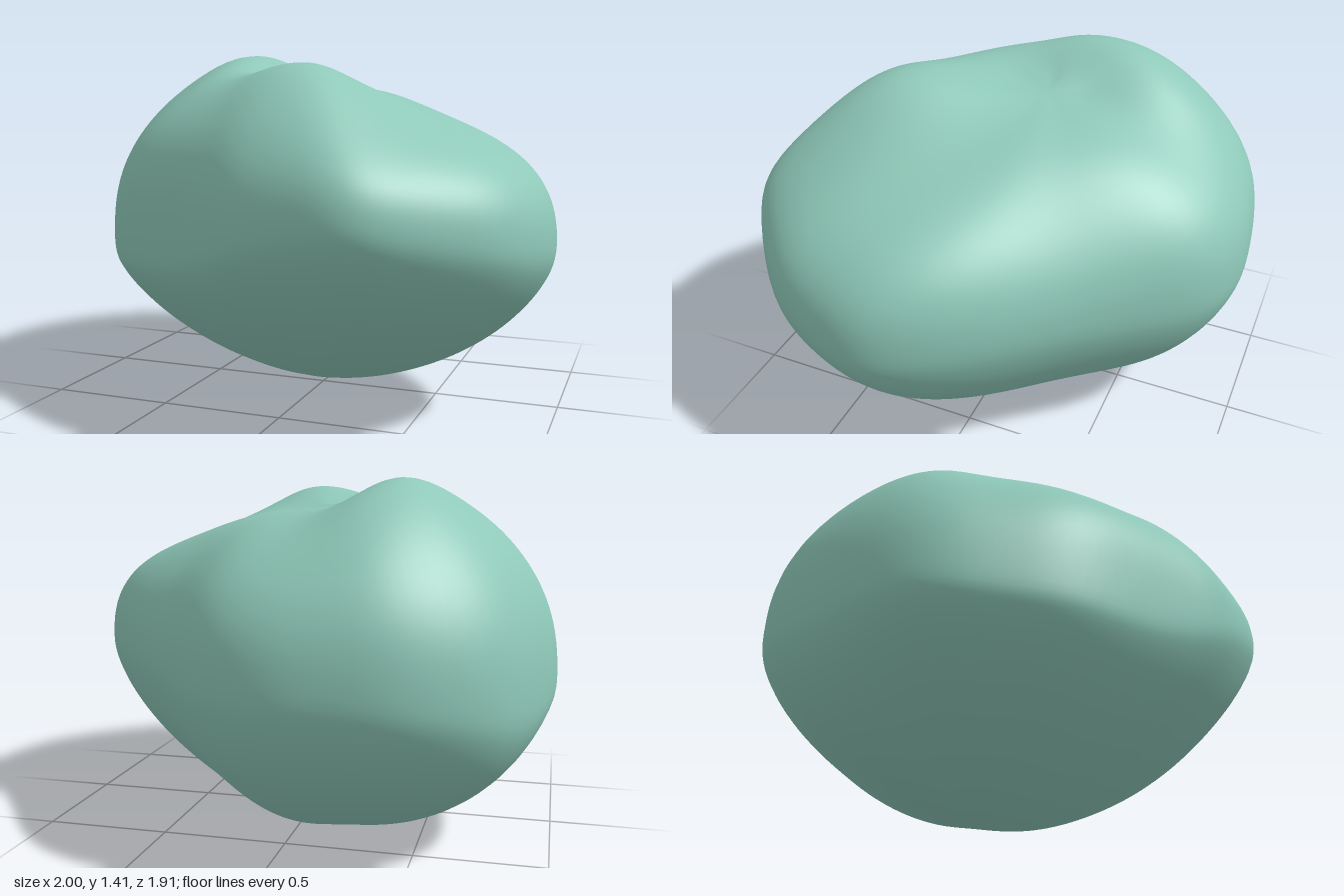
import * as THREE from 'three';
import { mergeVertices } from 'three/addons/utils/BufferGeometryUtils.js';

// Widest outline of the boulder, from its right side round the front: [x, y, z]
const GIRTH = [
  [-1.01, 0.6, -0.15], [-0.99, 0.6, 0.05], [-0.87, 0.59, 0.26], [-0.71, 0.59, 0.48],
  [-0.42, 0.61, 0.66], [-0.2, 0.66, 0.79], [-0.03, 0.73, 0.89], [0.2, 0.79, 0.94],
  [0.42, 0.82, 0.965], [0.62, 0.77, 0.84], [0.87, 0.72, 0.62], [0.97, 0.68, 0.4],
  [1.01, 0.67, 0.2], [0.94, 0.69, 0], [0.8, 0.7, -0.2], [0.6, 0.69, -0.42],
  [0.4, 0.68, -0.66], [0.2, 0.67, -0.88], [-0.04, 0.67, -0.965], [-0.28, 0.67, -0.95],
  [-0.52, 0.65, -0.91], [-0.81, 0.6, -0.72], [-0.94, 0.57, -0.45],
];
const AXIS = { x: -0.1, z: -0.14 };

const bump = (x, z, cx, cz, rx, rz) =>
  Math.exp(-(((x - cx) / rx) ** 2) - ((z - cz) / rz) ** 2);

// Height of the crown: ridge, front hump, right shoulder, back rise and crease
const crown = (x, z) => 1.2
  + 0.22 * bump(x, z, -0.38, -0.3, 0.27, 0.62)
  + 0.225 * bump(x, z, 0.07, 0.5, 0.33, 0.42)
  + 0.15 * bump(x, z, -0.78, -0.25, 0.3, 0.5)
  + 0.08 * bump(x, z, 0.2, -0.35, 0.3, 0.35)
  - 0.06 * bump(x, z, -0.19, -0.15, 0.1, 0.24);

// Averages each vertex with its neighbours to wear the edges down
function wear(geo, passes) {
  const pos = geo.attributes.position;
  const neighbours = Array.from({ length: pos.count }, () => new Set());
  const index = geo.index.array;
  for (let i = 0; i < index.length; i += 3) {
    for (let k = 0; k < 3; k++) {
      const a = index[i + k], b = index[i + (k + 1) % 3];
      neighbours[a].add(b);
      neighbours[b].add(a);
    }
  }
  const mean = new THREE.Vector3(), p = new THREE.Vector3();
  for (let n = 0; n < passes; n++) {
    const old = pos.clone();
    neighbours.forEach((set, i) => {
      mean.set(0, 0, 0);
      set.forEach((j) => mean.add(p.fromBufferAttribute(old, j)));
      p.fromBufferAttribute(old, i).lerp(mean.divideScalar(set.size), 0.5);
      pos.setXYZ(i, p.x, p.y, p.z);
    });
  }
}

function boulderGeometry() {
  const girth = new THREE.CatmullRomCurve3(
    GIRTH.map((p) => new THREE.Vector3(...p)), true, 'centripetal');
  let geo = new THREE.SphereGeometry(1, 112, 72);
  const pos = geo.attributes.position;
  const uv = geo.attributes.uv;
  const edge = new THREE.Vector3();

  for (let i = 0; i < pos.count; i++) {
    const s = THREE.MathUtils.clamp(pos.getY(i), -1, 1);
    const c = Math.sqrt(Math.max(0, 1 - s * s));
    girth.getPoint(THREE.MathUtils.euclideanModulo(uv.getX(i), 1), edge);

    // Shoulders above, boxy at the front right and sloping at the back left
    const shoulder = 2.65 + 1.2 * bump(edge.x, edge.z, -0.5, 0.65, 0.4, 0.35)
      - 0.4 * bump(edge.x, edge.z, 0.6, -0.45, 0.4, 0.4);
    // Tapering bowl below, fuller at the back right corner
    const lean = edge.x - edge.z;
    const full = 0.35 * bump(edge.x, edge.z, -0.9, -0.5, 0.3, 0.35);
    const h = c ** (2 / (s > 0 ? shoulder : 1.68 + 0.15 * lean + full));
    const v = Math.abs(s) ** (2 / (s > 0 ? shoulder : 1.5 + 0.1 * lean + full));
    const x = AXIS.x + (edge.x - AXIS.x) * h;
    const z = AXIS.z + (edge.z - AXIS.z) * h;
    const end = s > 0 ? crown(x, z) : 0;
    pos.setXYZ(i, x, edge.y + (end - edge.y) * v, z);
  }

  // Weld the seam and poles so the shading is smooth all round
  geo.deleteAttribute('uv');
  geo.deleteAttribute('normal');
  geo = mergeVertices(geo, 1e-4);
  wear(geo, 10);
  geo.computeBoundingBox();
  geo.translate(0, -geo.boundingBox.min.y, 0);
  geo.computeVertexNormals();
  return geo;
}

export function createModel() {
  const group = new THREE.Group();
  group.name = 'rock';
  const boulder = new THREE.Mesh(
    boulderGeometry(), new THREE.MeshStandardMaterial({ color: 0x8fc9b9 }));
  boulder.name = 'boulder';
  group.add(boulder);
  return group;
}
